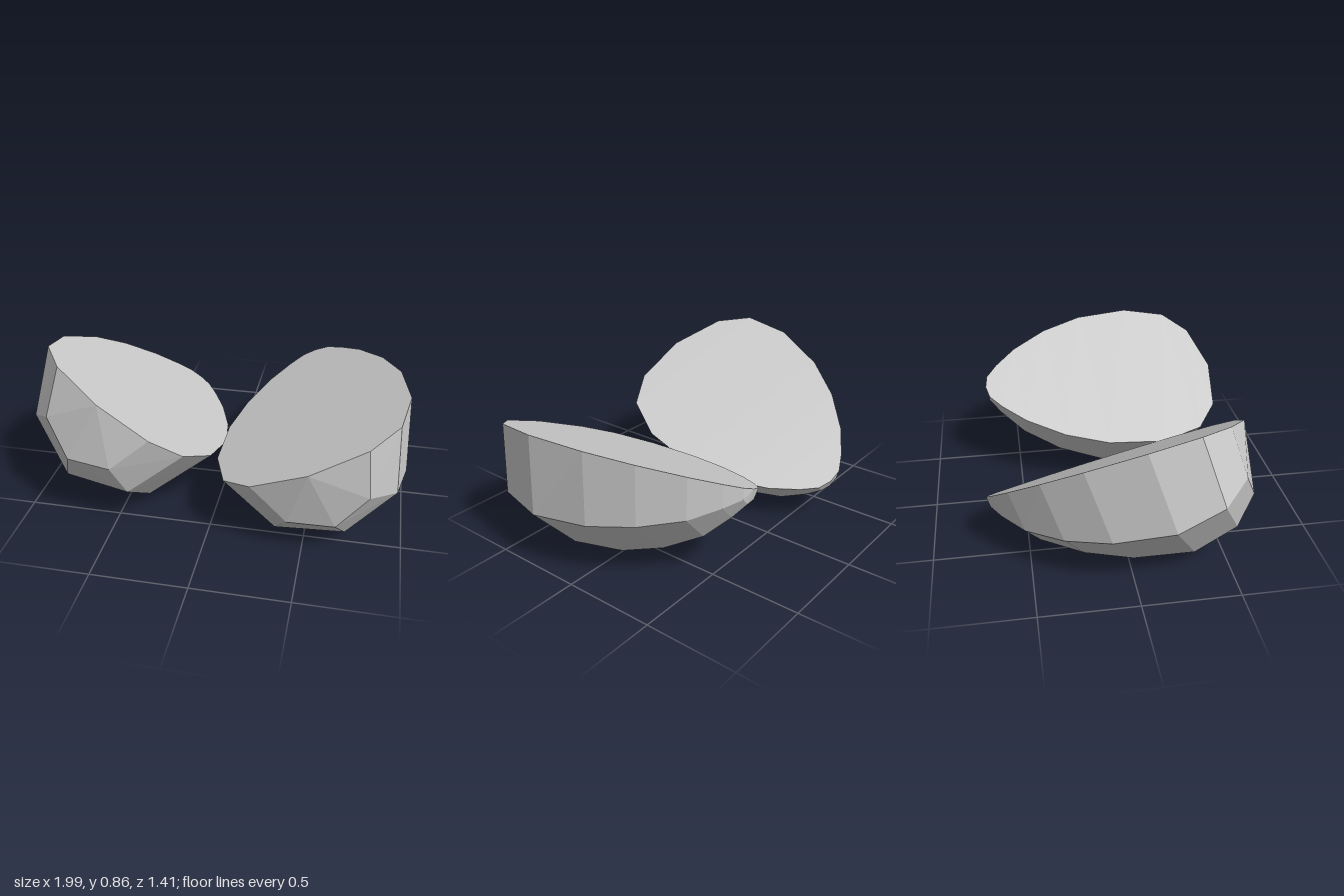
import * as THREE from 'three';

// Stations along the long axis, blunt end to narrow end: [position, half width, depth]
const STATIONS = [
  [0.708, 0, 0], [0.65, 0.307, 0.363], [0.523, 0.466, 0.5], [0.28, 0.534, 0.567],
  [-0.03, 0.503, 0.517], [-0.27, 0.412, 0.424], [-0.475, 0.28, 0.298],
  [-0.6, 0.16, 0.165], [-0.665, 0.077, 0.08], [-0.68, 0, 0],
];
const SIDES = 4; // facets around the rounded half

// Half an egg: flat cut face at local y = 0, rounded side below, blunt end at +z
function halfEggGeometry() {
  const rings = STATIONS.map(([z, w, d]) => {
    const ring = [];
    for (let k = 0; k <= SIDES; k++) {
      const t = Math.PI * (1 + k / SIDES);
      ring.push([w * Math.cos(t), k % SIDES ? d * Math.sin(t) : 0, z]);
    }
    return ring;
  });
  const positions = [];
  const last = rings.length - 1;
  for (let i = 0; i < last; i++) {
    for (let k = 0; k <= SIDES; k++) { // the final step closes the cut face
      const n = (k + 1) % (SIDES + 1);
      const a = rings[i][k], b = rings[i][n], c = rings[i + 1][n], d = rings[i + 1][k];
      if (i < last - 1) positions.push(...a, ...d, ...c);
      if (i > 0) positions.push(...a, ...c, ...b);
    }
  }
  // the narrow tip needs only its closing fan, already made by the second triangle
  const geometry = new THREE.BufferGeometry();
  geometry.setAttribute('position', new THREE.Float32BufferAttribute(positions, 3));
  geometry.computeVertexNormals();
  return geometry;
}

// Place a half by its centre, long axis and cut face normal
function placeHalf(geometry, material, name, centre, axis, normal) {
  const z = new THREE.Vector3(...axis).normalize();
  const x = new THREE.Vector3(...normal).cross(z).normalize();
  const y = new THREE.Vector3().crossVectors(z, x);
  const mesh = new THREE.Mesh(geometry, material);
  mesh.name = name;
  mesh.quaternion.setFromRotationMatrix(new THREE.Matrix4().makeBasis(x, y, z));
  mesh.position.set(...centre);
  return mesh;
}

export function createModel() {
  const group = new THREE.Group();
  group.name = 'eggHalves';
  const material = new THREE.MeshStandardMaterial({ color: 0xcccccc, flatShading: true });
  const geometry = halfEggGeometry();
  group.add(
    placeHalf(geometry, material, 'leftHalf', [0.469, 0.522, 0], [0.072, 0, 0.997], [-0.407, 0.9135, 0.029]),
    placeHalf(geometry, material, 'rightHalf', [-0.43, 0.482, -0.067], [-0.225, 0.47, 1.28], [0.61, 1, -0.26]),
  );
  return group;
}
